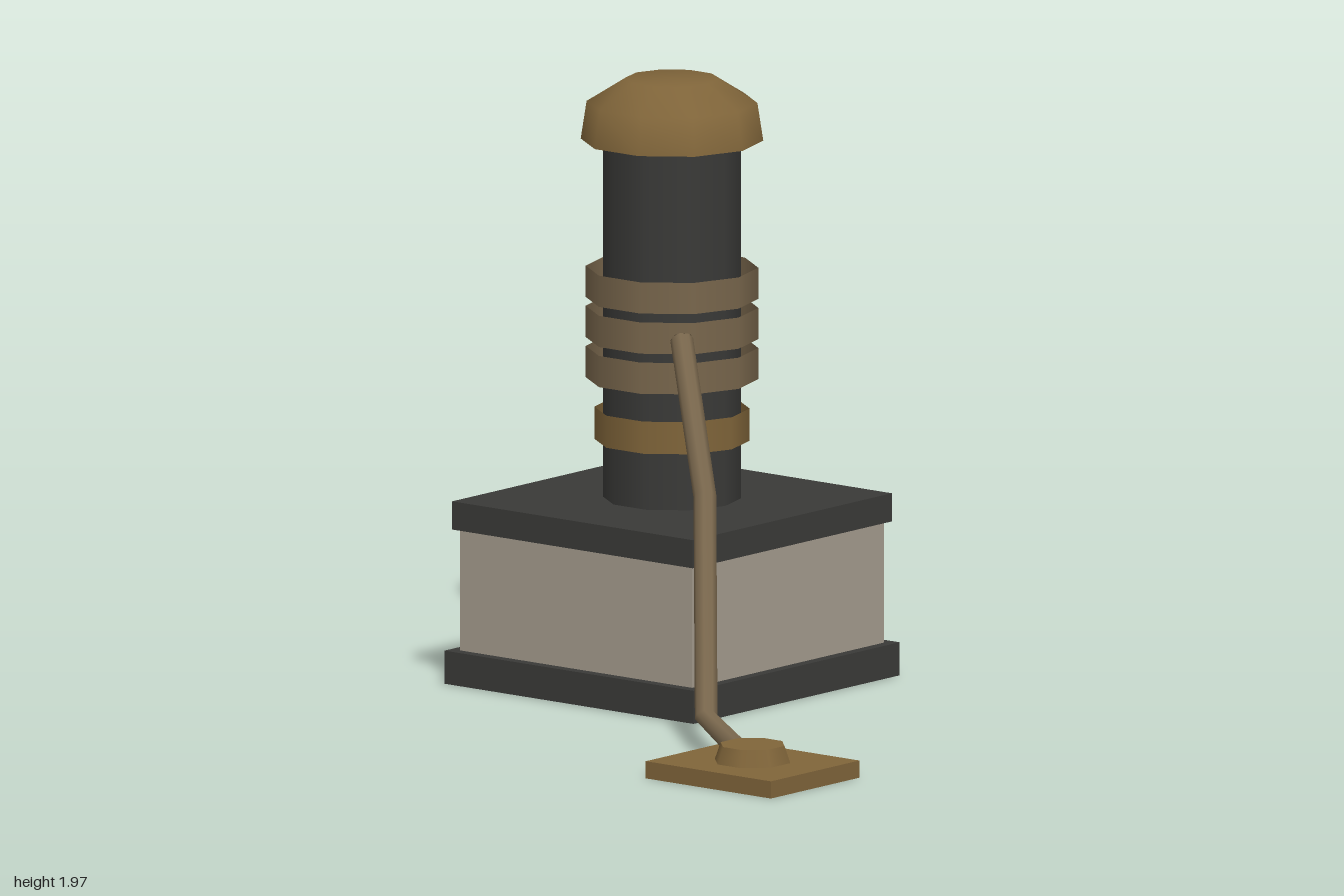
import * as THREE from 'three';

const mat = (color) => new THREE.MeshStandardMaterial({ color, side: THREE.DoubleSide });
const dark = mat(0x3a3a38);
const stone = mat(0xa59c8e);
const brass = mat(0x80653a);
const bronze = mat(0x78664c);

export function createModel() {
  const model = new THREE.Group();
  const add = (parent, name, geometry, material, x = 0, y = 0, z = 0) => {
    const mesh = new THREE.Mesh(geometry, material);
    mesh.name = name;
    mesh.position.set(x, y, z);
    parent.add(mesh);
    return mesh;
  };

  // Tower: square plinth with a ten-sided column
  const tower = new THREE.Group();
  tower.name = 'tower';
  tower.position.set(-0.483, 0, -0.39);
  model.add(tower);

  const slab = (name, size, y0, y1, material) =>
    add(tower, name, new THREE.BoxGeometry(size, y1 - y0, size), material, 0, (y0 + y1) / 2, 0);
  slab('plinthBase', 1.035, 0.002, 0.11, dark);
  slab('plinthBody', 0.965, 0, 0.52, stone);
  slab('plinthTop', 1.0, 0.505, 0.597, dark);

  // Cylinder with a corner on the x axis
  const decagon = (name, r, y0, y1, material, open) => {
    const g = new THREE.CylinderGeometry(r, r, y1 - y0, 10, 1, open).rotateY(Math.PI / 2);
    add(tower, name, g, material, 0, (y0 + y1) / 2, 0);
  };
  decagon('column', 0.222, 0.59, 1.82, dark, false);
  decagon('collar', 0.249, 0.785, 0.89, brass, true);
  for (let i = 0; i < 3; i++) {
    const y = 0.986 + i * 0.131;
    decagon('coilRing' + (i + 1), 0.277, y, y + 0.102, bronze, true);
  }

  // Domed cap, open underneath
  const profile = [[0.293, 1.765], [0.274, 1.888], [0.15, 1.965], [0, 1.965]]
    .map(([r, y]) => new THREE.Vector2(r, y));
  add(tower, 'cap', new THREE.LatheGeometry(profile, 10).rotateY(Math.PI / 2), brass);

  // Bent cable from the coil to the foot plate
  const points = [[-0.285, 1.165, -0.2], [0.08, 0.75, 0.125], [0.35, 0.113, 0.445], [0.64, 0.072, 0.635]]
    .map((p) => new THREE.Vector3(...p));
  const path = new THREE.Curve();
  path.getPoint = (t) => {
    const i = Math.min(Math.floor(t * 3 + 1e-9), 2);
    return new THREE.Vector3().lerpVectors(points[i], points[i + 1], t * 3 - i);
  };
  path.getPointAt = path.getPoint;
  path.getTangentAt = (t) => path.getTangent(t);
  const cable = new THREE.Group();
  cable.name = 'cable';
  model.add(cable);
  const radius = 0.037;
  add(cable, 'cableTube', new THREE.TubeGeometry(path, 3, radius, 8), bronze);
  for (const [end, next] of [[0, 1], [3, 2]]) {
    const p = points[end];
    const cap = add(cable, 'cableEnd', new THREE.CircleGeometry(radius, 8), bronze, p.x, p.y, p.z);
    cap.lookAt(p.clone().multiplyScalar(2).sub(points[next]));
  }

  // Foot plate with an eight-sided button
  const plate = new THREE.Group();
  plate.name = 'footPlate';
  plate.position.set(0.74, 0, 0.683);
  model.add(plate);
  add(plate, 'plate', new THREE.BoxGeometry(0.52, 0.056, 0.445), brass, 0, 0.028, 0);
  const button = new THREE.CylinderGeometry(0.107, 0.128, 0.06, 8).rotateY(Math.PI / 8);
  add(plate, 'button', button, brass, 0, 0.081, 0);

  return model;
}
